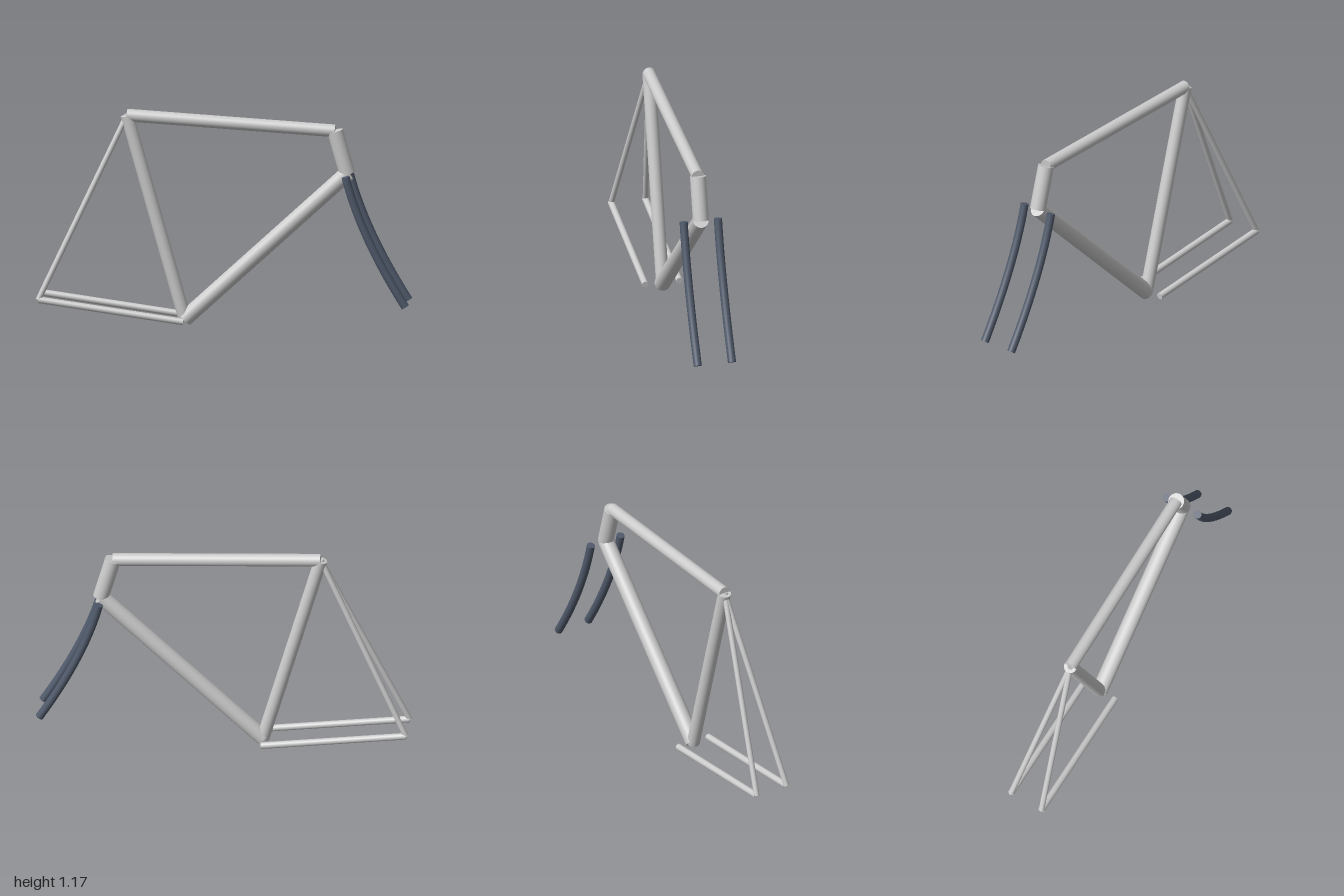
import * as THREE from 'three';

const grey = new THREE.MeshStandardMaterial({ color: 0xcccccc });
const dark = new THREE.MeshStandardMaterial({ color: 0x505a6b });

// Straight round tube between two points
function tube(name, a, b, radius) {
  const dir = b.clone().sub(a);
  const mesh = new THREE.Mesh(new THREE.CylinderGeometry(radius, radius, dir.length(), 32), grey);
  mesh.name = name;
  mesh.position.copy(a).add(b).multiplyScalar(0.5);
  mesh.quaternion.setFromUnitVectors(new THREE.Vector3(0, 1, 0), dir.normalize());
  return mesh;
}

// Curved fork blade with closed ends
function forkBlade(name, z, radius) {
  const group = new THREE.Group();
  group.name = name;
  const curve = new THREE.QuadraticBezierCurve3(
    new THREE.Vector3(0.66, 0.843, z),
    new THREE.Vector3(0.74, 0.52, z),
    new THREE.Vector3(0.98, 0.14, z)
  );
  group.add(new THREE.Mesh(new THREE.TubeGeometry(curve, 32, radius, 24), dark));
  for (const [t, sign] of [[0, -1], [1, 1]]) {
    const cap = new THREE.Mesh(new THREE.CircleGeometry(radius, 24), dark);
    const out = curve.getTangent(t).multiplyScalar(sign);
    cap.position.copy(curve.getPoint(t));
    cap.quaternion.setFromUnitVectors(new THREE.Vector3(0, 0, 1), out);
    group.add(cap);
  }
  return group;
}

export function createModel() {
  const frame = new THREE.Group();
  frame.name = 'bicycleFrame';

  // Joints of the frame
  const bottomBracket = new THREE.Vector3(-0.21, 0.033, 0);
  const seatTop = new THREE.Vector3(-0.52, 1.137, 0);
  const headTop = new THREE.Vector3(0.595, 1.074, 0);
  const headBottom = new THREE.Vector3(0.66, 0.843, 0);

  // Main triangle
  frame.add(
    tube('seatTube', bottomBracket, seatTop, 0.035),
    tube('topTube', seatTop, headTop, 0.034),
    tube('downTube', bottomBracket, headBottom, 0.043),
    tube('headTube', headBottom, headTop, 0.043)
  );

  // Rear stays and fork blades, mirrored on both sides
  for (const [side, z] of [['front', 0.094], ['back', -0.094]]) {
    const axle = new THREE.Vector3(-0.986, 0.14, z);
    const stayEnd = new THREE.Vector3(bottomBracket.x, bottomBracket.y + 0.002, z);
    frame.add(
      tube(side + 'ChainStay', axle, stayEnd, 0.018),
      tube(side + 'SeatStay', axle, seatTop, 0.015),
      forkBlade(side + 'ForkBlade', z, 0.022)
    );
  }
  return frame;
}
